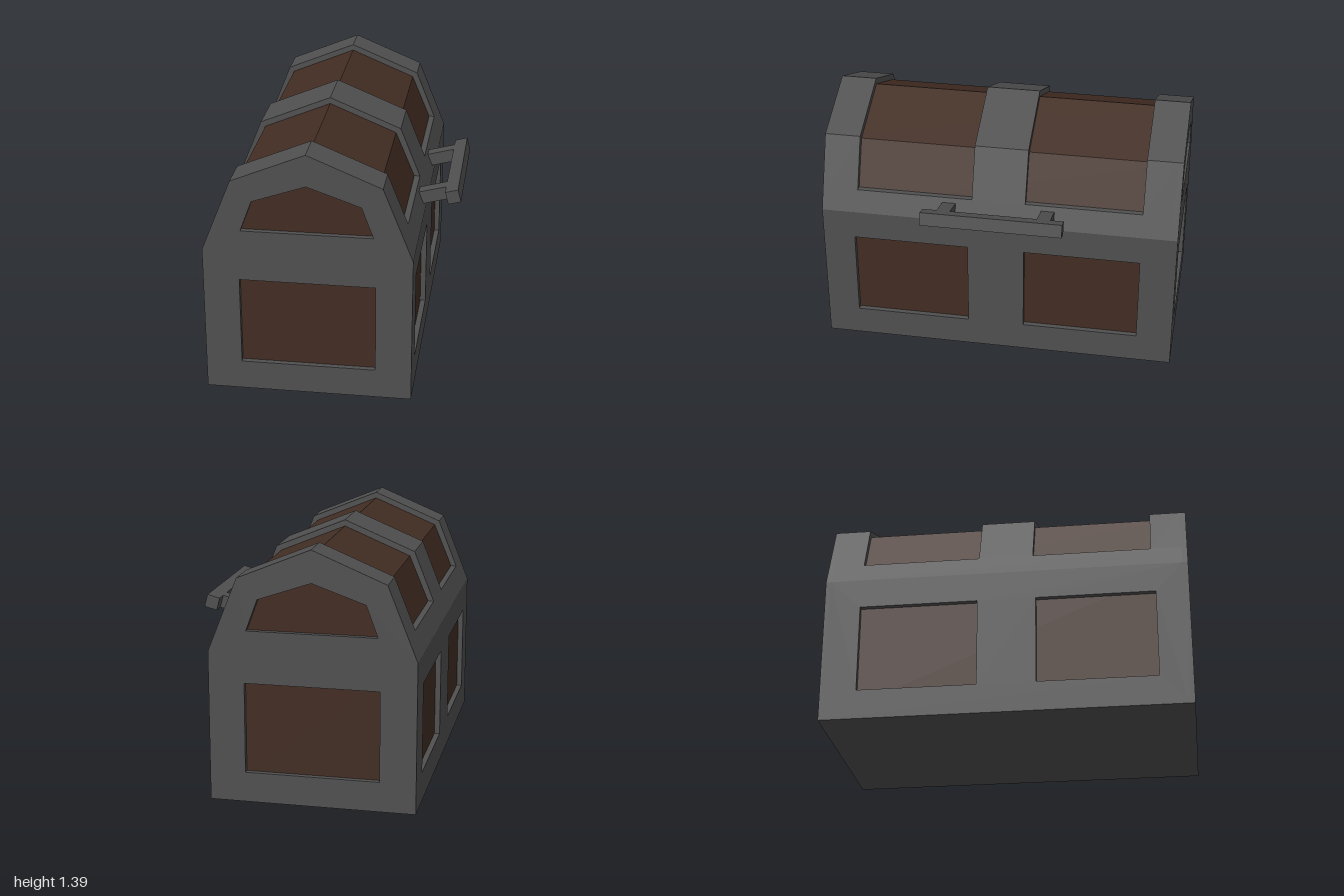
import * as THREE from 'three';

const metal = new THREE.MeshStandardMaterial({ color: 0x505050, flatShading: true });
const wood = new THREE.MeshStandardMaterial({ color: 0x422d23, flatShading: true });

const CX = -0.1025;   // centre of the chest body
const HALF = 0.5575;  // half width of the body
const T = 0.03;       // depth of the panel recesses
const END = 1 - T;    // inner face of the end frames
const RIM = 0.825;    // where the lid starts
const LIP = 0.945;    // lower edge of the lid panels

const vecs = (pts) => pts.map(([x, y]) => new THREE.Vector2(x, y));

// Mirror a right-hand outline (bottom to top, last point on the axis)
const mirrored = (pts) => [...pts, ...pts.slice(0, -1).reverse().map(([x, y]) => [-x, y])];

const rect = (x0, x1, y0, y1) => [[x0, y0], [x1, y0], [x1, y1], [x0, y1]];

// Extrude an outline, with optional holes, from z0 to z1
function extrude(pts, z0, z1, holes = []) {
  const shape = new THREE.Shape(vecs(pts));
  holes.forEach((h) => shape.holes.push(new THREE.Path(vecs(h))));
  return new THREE.ExtrudeGeometry(shape, { depth: z1 - z0, bevelEnabled: false }).translate(0, 0, z0);
}

function add(parent, name, geometry, material = metal) {
  const mesh = new THREE.Mesh(geometry, material);
  mesh.name = name;
  parent.add(mesh);
  return mesh;
}

export function createModel() {
  const model = new THREE.Group();
  model.name = 'chest';
  const body = new THREE.Group();
  body.name = 'chestBody';
  body.position.x = CX;
  model.add(body);

  // Wooden core, visible through every opening of the frame
  const core = mirrored([[HALF - T, 0.02], [HALF - T, RIM], [0.371, 1.2], [0, 1.355]]);
  add(body, 'woodenPanels', extrude(core, -END, END), wood);

  // Bottom plate
  add(body, 'bottomPlate', new THREE.BoxGeometry(2 * HALF, 0.02, 2 * END).translate(0, 0.01, 0));

  // End frames with a lower and an upper opening
  const outline = mirrored([[HALF, 0], [HALF, RIM], [0.3975, 1.225], [0, 1.39]]);
  const endHoles = [
    rect(-0.363, 0.363, 0.165, 0.66),
    mirrored([[0.35, LIP], [0.287, 1.115], [0, 1.215]]),
  ];
  add(body, 'frontFrame', extrude(outline, END, 1, endHoles));
  add(body, 'backFrame', extrude(outline, -1, -END, endHoles));

  // Side frames with two openings each, and the sloping lip of the lid
  const sideHoles = [rect(0.17, 0.82, 0.165, 0.66), rect(-0.8, -0.15, 0.165, 0.66)];
  const lipOut = HALF - (LIP - RIM) * 0.4;
  const lipIn = 0.477;
  for (const [side, s] of [['left', 1], ['right', -1]]) {
    const plate = extrude(rect(-END, END, 0, RIM), -T / 2, T / 2, sideHoles);
    plate.rotateY(-Math.PI / 2).translate(s * (HALF - T / 2), 0, 0);
    add(body, side + 'SideFrame', plate);
    const lip = [[s * (HALF - T), RIM], [s * HALF, RIM], [s * lipOut, LIP], [s * lipIn, LIP]];
    add(body, side + 'LidLip', extrude(lip, -END, END));
  }

  // Arched bands over the lid
  const arch = [
    ...mirrored([[lipOut, LIP], [0.3975, 1.225], [0, 1.39]]),
    ...mirrored([[lipIn, LIP], [0.371, 1.2], [0, 1.355]]).reverse(),
  ];
  for (const [name, z0, z1] of [['frontBand', 0.8, END], ['middleBand', -0.15, 0.15], ['backBand', -END, -0.8]]) {
    add(body, name, extrude(arch, z0, z1));
  }

  // Tilted handle: a bar on two arms
  const handle = new THREE.Group();
  handle.name = 'handle';
  handle.position.set(0.613, 0.933, 0);
  handle.rotation.z = THREE.MathUtils.degToRad(15);
  model.add(handle);
  add(handle, 'handleBar', new THREE.BoxGeometry(0.073, 0.073, 0.78)).position.z = 0.003;
  for (const s of [1, -1]) {
    add(handle, 'handleArm', new THREE.BoxGeometry(0.16, 0.073, 0.075)).position.set(-0.1165, 0, s * 0.277);
  }
  return model;
}
